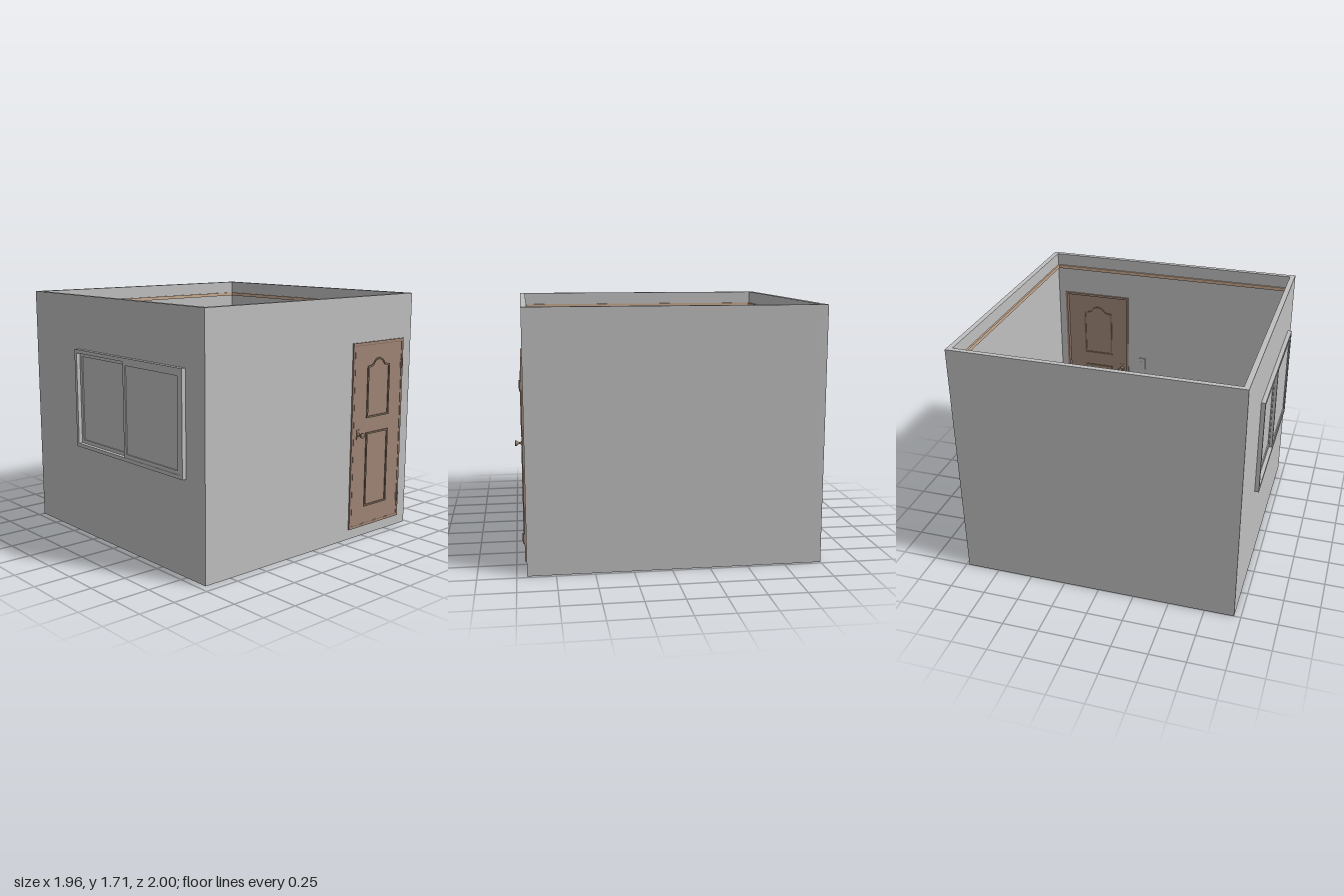
import * as THREE from 'three';

const mat = (name, color) => {
  const m = new THREE.MeshStandardMaterial({ color });
  m.name = name;
  return m;
};

export function createModel() {
  const wallGrey = mat('wall grey', 0xc0c0c0);
  const floorTan = mat('floor tan', 0xc8aa90);
  const doorBrown = mat('door brown', 0xa08677);
  const mouldBrown = mat('moulding brown', 0x84705f);
  const metal = mat('bronze metal', 0x8c7a68);

  const model = new THREE.Group();
  model.name = 'room';
  const group = (name) => {
    const g = new THREE.Group();
    g.name = name;
    model.add(g);
    return g;
  };
  const add = (parent, name, geometry, material) => {
    const m = new THREE.Mesh(geometry, material);
    m.name = name;
    parent.add(m);
    return m;
  };
  // Box given by its limits on each axis
  const box = (parent, name, material, [x0, x1], [y0, y1], [z0, z1]) => {
    const m = add(parent, name, new THREE.BoxGeometry(x1 - x0, y1 - y0, z1 - z0), material);
    m.position.set((x0 + x1) / 2, (y0 + y1) / 2, (z0 + z1) / 2);
    return m;
  };
  const rect = (Type, a0, a1, b0, b1) => new Type([
    [a0, b0], [a1, b0], [a1, b1], [a0, b1],
  ].map(([a, b]) => new THREE.Vector2(a, b)));
  // Flat plate with a rectangular opening
  const framePlate = (outer, hole, depth) => {
    const s = rect(THREE.Shape, ...outer);
    s.holes.push(rect(THREE.Path, ...hole));
    return new THREE.ExtrudeGeometry(s, { depth, bevelEnabled: false });
  };
  // Same plate, upright in the zy plane, from x1 towards -x
  const sidePlate = (parent, name, material, outer, hole, x0, x1) => {
    const m = add(parent, name, framePlate(outer, hole, x1 - x0), material);
    m.rotation.y = -Math.PI / 2;
    m.position.x = x1;
    return m;
  };

  const X0 = -0.954, X1 = 0.98, Z0 = -1, Z1 = 0.935, H = 1.705, T = 0.036;
  const ix = [X0 + T, X1 - T], iz = [Z0 + T, Z1 - T];

  // Walls and floor
  const walls = group('walls');
  box(walls, 'backWall', wallGrey, [X0, X1], [0, H], [Z0, iz[0]]);
  box(walls, 'rightWall', wallGrey, [ix[1], X1], [0, H], iz);
  const front = add(walls, 'frontWall',
    framePlate([X0, X1, 0, H], [0.36, 0.885, 0.075, 1.385], T), wallGrey);
  front.position.z = iz[1];
  sidePlate(walls, 'windowWall', wallGrey,
    [iz[0], iz[1], 0, H], [-0.435, 0.74, 0.65, 1.32], X0, ix[0]);
  box(model, 'floor', floorTan, ix, [0.001, 0.06], iz);

  // Picture rail around the inside, near the top
  const rail = add(model, 'pictureRail', framePlate(
    [ix[0], ix[1], -iz[1], -iz[0]],
    [ix[0] + 0.012, ix[1] - 0.012, -iz[1] + 0.012, -iz[0] - 0.012], 0.025), floorTan);
  rail.rotation.x = -Math.PI / 2;
  rail.position.y = 1.59;

  // Door frame and leaf
  const door = group('door');
  const frame = add(door, 'doorFrame',
    framePlate([0.356, 0.89, 0.07, 1.39], [0.373, 0.873, 0.088, 1.373], 0.056), doorBrown);
  frame.position.z = 0.889;
  box(door, 'doorLeaf', doorBrown, [0.376, 0.87], [0.092, 1.369], [0.915, 0.944]);
  for (const [name, y] of [['topGap', 1.371], ['bottomGap', 0.09]])
    box(door, name, mouldBrown, [0.373, 0.873], [y - 0.003, y + 0.003], [0.914, 0.9445]);

  // Panel mouldings, on both faces of the leaf
  const panelOutline = (Type, inset, low, high, arched) => {
    const l = 0.505 + inset, r = 0.74 - inset, c = 0.6225, t = high - inset;
    const p = new Type();
    p.moveTo(l, low + inset);
    p.lineTo(r, low + inset);
    p.lineTo(r, t);
    if (arched) {
      p.bezierCurveTo(r - 0.03, t + 0.006, c + 0.06, t + 0.006, c + 0.05, t + 0.028);
      p.quadraticCurveTo(c + 0.03, t + 0.052, c, t + 0.052);
      p.quadraticCurveTo(c - 0.03, t + 0.052, c - 0.05, t + 0.028);
      p.bezierCurveTo(c - 0.06, t + 0.006, l + 0.03, t + 0.006, l, t);
    } else p.lineTo(l, t);
    p.closePath();
    return p;
  };
  for (const [name, low, high, arched] of [['upperPanel', 0.857, 1.222, true], ['lowerPanel', 0.215, 0.752, false]]) {
    const s = panelOutline(THREE.Shape, 0, low, high, arched);
    s.holes.push(panelOutline(THREE.Path, 0.012, low, high, arched));
    const g = new THREE.ExtrudeGeometry(s, { depth: 0.008, bevelEnabled: false, curveSegments: 8 });
    for (const z of [0.943, 0.908])
      add(door, name + 'Moulding', g, mouldBrown).position.z = z;
  }

  // Hinges
  for (const y of [0.22, 1.21]) {
    const pin = add(door, 'hingePin', new THREE.CylinderGeometry(0.005, 0.005, 0.07, 10), doorBrown);
    pin.position.set(0.874, y, 0.952);
    box(door, 'hingeLeaf', doorBrown, [0.862, 0.885], [y - 0.03, y + 0.03], [0.94, 0.948]);
  }

  // Door knobs, one on each side
  const knobProfile = [[0, 0], [0.014, 0], [0.013, 0.005], [0.006, 0.012], [0.006, 0.02],
    [0.018, 0.035], [0.02, 0.041], [0.018, 0.046], [0, 0.048]].map(([r, h]) => new THREE.Vector2(r, h));
  const knobGeometry = new THREE.LatheGeometry(knobProfile, 20);
  for (const [z, dir] of [[0.944, 1], [0.915, -1]]) {
    const knob = add(door, 'doorKnob', knobGeometry, metal);
    knob.rotation.x = dir * Math.PI / 2;
    knob.position.set(0.42, 0.75, z + dir * 0.003);
    box(door, 'lockPlate', doorBrown, [0.405, 0.437], [0.715, 0.785], [z - 0.005, z + 0.005]);
  }

  // Sliding window: outer frame, one sash set in, one sash set out
  const win = group('window');
  sidePlate(win, 'windowFrame', wallGrey,
    [-0.445, 0.752, 0.64, 1.332], [-0.42, 0.727, 0.665, 1.307], -0.983, -0.92);
  for (const [name, z0, z1, x] of [['innerSash', -0.42, 0.155, -0.945], ['outerSash', 0.13, 0.727, -0.969]]) {
    sidePlate(win, name, wallGrey, [z0, z1, 0.665, 1.307],
      [z0 + 0.025, z1 - 0.025, 0.69, 1.282], x - 0.011, x + 0.011);
    box(win, name + 'Pane', wallGrey, [x - 0.003, x + 0.003], [0.685, 1.287], [z0 + 0.02, z1 - 0.02]);
  }
  sidePlate(win, 'windowCasing', floorTan,
    [-0.46, 0.767, 0.625, 1.347], [-0.425, 0.732, 0.66, 1.312], ix[0], ix[0] + 0.011);

  // Light switch on the inside of the front wall
  const lightSwitch = group('lightSwitch');
  box(lightSwitch, 'switchPlate', wallGrey, [0.212, 0.272], [0.77, 0.87], [iz[1] - 0.008, iz[1]]);
  box(lightSwitch, 'switchRocker', wallGrey, [0.232, 0.252], [0.8, 0.84], [iz[1] - 0.013, iz[1] - 0.008]);

  return model;
}
